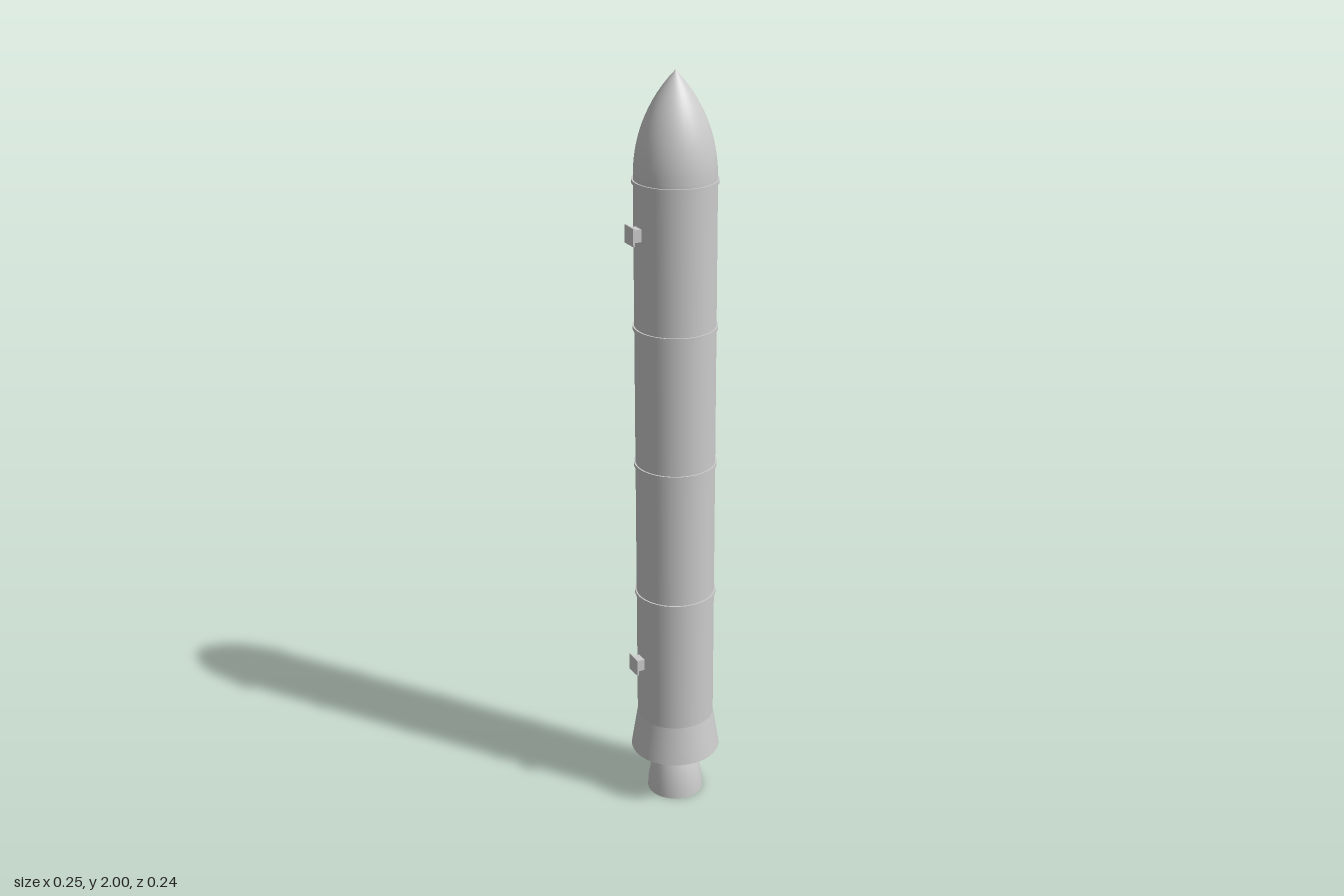
import * as THREE from 'three';

const SEG = 32;
const CX = 0.003; // body axis, offset by the side mounts

export function createModel() {
  const group = new THREE.Group();
  const grey = new THREE.MeshStandardMaterial({ color: 0xcccccc, side: THREE.DoubleSide });
  grey.name = 'light grey';

  const add = (name, geometry, x, y, z = 0) => {
    const mesh = new THREE.Mesh(geometry, grey);
    mesh.name = name;
    mesh.position.set(x, y, z);
    group.add(mesh);
    return mesh;
  };
  const lathe = (points) =>
    new THREE.LatheGeometry(points.map(([r, y]) => new THREE.Vector2(r, y)), SEG);

  // Main casing
  const R = 0.103, noseBase = 1.745;
  add('casing', new THREE.CylinderGeometry(R, R, noseBase - 0.245, SEG, 1, true), CX, (noseBase + 0.245) / 2);

  // Pointed ogive nose
  const L = 2 - noseBase, rho = (R * R + L * L) / (2 * R);
  const nose = [];
  for (let i = 0; i <= 14; i++) {
    const h = (L * i) / 14;
    nose.push([Math.max(0, Math.sqrt(rho * rho - h * h) - rho + R), h]);
  }
  add('noseCone', lathe(nose), CX, noseBase);

  // Flared aft skirt, closed underneath
  add('aftSkirt', new THREE.CylinderGeometry(R, 0.12, 0.107, SEG), CX, 0.1915);

  // Open bell nozzle, with an inner wall and a thin lip
  const outer = [[0.076, 0], [0.074, 0.03], [0.068, 0.065], [0.058, 0.1], [0.042, 0.138], [0.038, 0.15]];
  const inner = outer.map(([r, y]) => [r - 0.003, y]);
  add('nozzle', lathe(outer), CX, 0);
  add('nozzleLining', lathe(inner.reverse()), CX, 0);
  const lip = add('nozzleLip', new THREE.RingGeometry(0.073, 0.076, SEG), CX, 0);
  lip.rotation.x = Math.PI / 2;

  // Thin joint bands between casing segments
  for (const y of [0.616, 0.988, 1.36, 1.734]) {
    add('jointBand', new THREE.CylinderGeometry(0.107, 0.107, 0.009, SEG), CX, y);
  }

  // Two attachment mounts on the right side: a neck and an end plate
  for (const y of [0.42, 1.613]) {
    add('mountNeck', new THREE.BoxGeometry(0.03, 0.032, 0.03), -0.106, y);
    add('mountPlate', new THREE.BoxGeometry(0.005, 0.046, 0.046), -0.1225, y);
  }
  return group;
}
